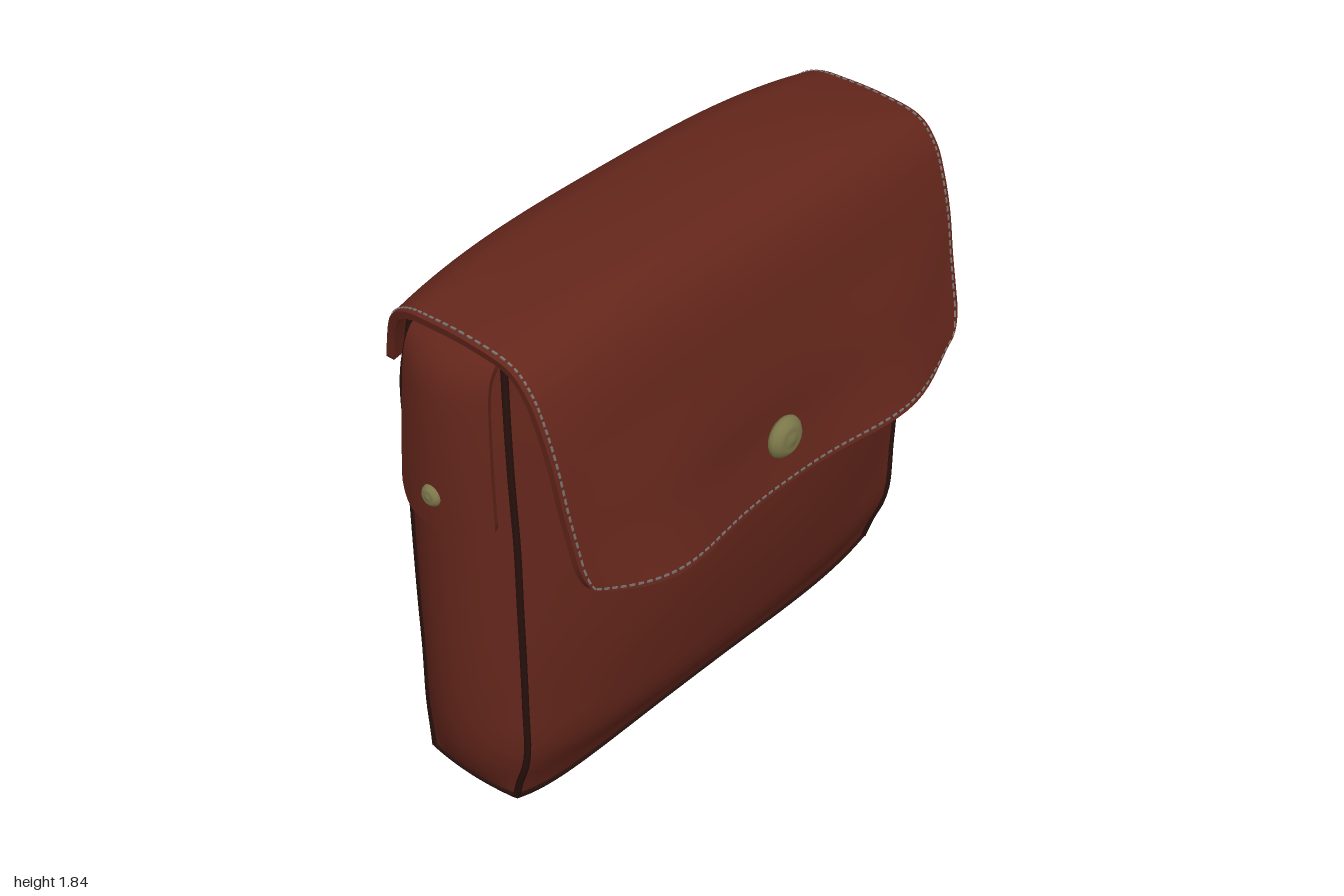
import * as THREE from 'three';
import { mergeGeometries } from 'three/addons/utils/BufferGeometryUtils.js';

const V = (x, y, z) => new THREE.Vector3(x, y, z);
const lerp = THREE.MathUtils.lerp;
const leather = new THREE.MeshStandardMaterial({ color: 0x64261b });
const darkLeather = new THREE.MeshStandardMaterial({ color: 0x2c130e });
const pipingMat = new THREE.MeshStandardMaterial({ color: 0x28110d });
const brass = new THREE.MeshStandardMaterial({ color: 0x7d784a });
const thread = new THREE.MeshStandardMaterial({ color: 0x777470 });

// Smooth function of t in 0..1 through evenly spaced values
function spl(...vals) {
  const c = new THREE.SplineCurve(vals.map((v, i) => new THREE.Vector2(i, v)));
  return t => c.getPoint(Math.min(1, Math.max(0, t))).y;
}

// Surface patch: fn(u in -1..1, t in 0..1) gives a point
function patch(fn, nu, nt) {
  const g = new THREE.PlaneGeometry(2, 1, nu, nt);
  const p = g.attributes.position;
  for (let i = 0; i < p.count; i++) {
    const q = fn(p.getX(i), p.getY(i) + 0.5);
    p.setXYZ(i, q.x, q.y, q.z);
  }
  g.computeVertexNormals();
  return g;
}

// Patch with thickness and a closed rim
function slab(fn, nu, nt, th) {
  const outer = patch(fn, nu, nt), inner = outer.clone();
  const p = inner.attributes.position, n = outer.attributes.normal;
  for (let i = 0; i < p.count; i++) {
    p.setXYZ(i, p.getX(i) - th * n.getX(i), p.getY(i) - th * n.getY(i), p.getZ(i) - th * n.getZ(i));
  }
  inner.setIndex(Array.from(inner.index.array).reverse());
  inner.computeVertexNormals();
  const w = nu + 1, loop = [];
  for (let i = 0; i < nu; i++) loop.push(nt * w + i);
  for (let j = nt; j > 0; j--) loop.push(j * w + nu);
  for (let i = nu; i > 0; i--) loop.push(i);
  for (let j = 0; j < nt; j++) loop.push(j * w);
  const pos = [], uv = [], idx = [];
  loop.concat(loop[0]).forEach((k, i) => {
    for (const a of [outer.attributes.position, p]) pos.push(a.getX(k), a.getY(k), a.getZ(k));
    uv.push(0, 0, 0, 1);
    const b = 2 * i;
    if (i < loop.length) idx.push(b, b + 1, b + 3, b, b + 3, b + 2);
  });
  const rim = new THREE.BufferGeometry();
  rim.setAttribute('position', new THREE.Float32BufferAttribute(pos, 3));
  rim.setAttribute('uv', new THREE.Float32BufferAttribute(uv, 2));
  rim.setIndex(idx);
  rim.computeVertexNormals();
  return mergeGeometries([outer, inner, rim]);
}

function add(parent, name, geo, mat) {
  const m = new THREE.Mesh(geo, mat);
  m.name = name;
  parent.add(m);
  return m;
}

const tube = (fn, n, r) => new THREE.TubeGeometry(
  new THREE.CatmullRomCurve3(Array.from({ length: n + 1 }, (_, i) => fn(i / n))), n * 2, r, 6);

// Row of short thread dashes along a path
function stitches(fn, n) {
  const parts = [], o = new THREE.Object3D();
  for (let i = 0; i < n; i++) {
    const a = fn(i / n), b = fn((i + 0.6) / n);
    const g = new THREE.BoxGeometry(0.006, 0.006, a.distanceTo(b));
    o.position.copy(a).lerp(b, 0.5);
    o.lookAt(b);
    o.updateMatrix();
    parts.push(g.applyMatrix4(o.matrix));
  }
  return mergeGeometries(parts);
}

// Body: seam corners and the bulge of each panel, from bottom to top
const seamX = spl(.828, .845, .85, .855, .858, .86, .865, .867, .86);
const sideX = t => 0.955 - 0.113 * (1 - t) ** 10 - 0.085 * t ** 12;
const seamZ = { front: spl(.1, .168, .176, .18, .18, .18, .175, .17, .16),
  back: spl(-.24, -.235, -.23, -.23, -.23, -.23, -.228, -.225, -.19) };
const midZ = { front: spl(.075, .235, .3, .34, .357, .357, .345, .31, .21),
  back: spl(-.262, -.365, -.415, -.445, -.46, -.45, -.42, -.37, -.22) };

function face(side, u, t) {
  const a = Math.abs(u), flat = 1 - a ** 5;
  const y = 0.13 + 1.6 * t - 0.08 * flat * (1 - t) ** 6 + 0.03 * flat * t ** 6;
  return V(u * seamX(t), y, lerp(midZ[side](t), seamZ[side](t), a ** 2.4));
}
function sidePanel(s, u, t) {
  return V(s * lerp(sideX(t), seamX(t), u * u), 0.13 + 1.6 * t,
    lerp(seamZ.front(t), seamZ.back(t), (s * u + 1) / 2));
}
// Bottom (t = 0) or top (t = 1) panel between the front and back edges
function cap(u, w, t) {
  const hump = 4 * w * (1 - w), p = face('front', u, t).lerp(face('back', u, t), w);
  p.y += (t ? 0.02 : -0.05) * hump * (1 - Math.abs(u) ** 5);
  p.x += u * hump * (sideX(t) - seamX(t));
  return p;
}

// Flap: centre line and side edge as height and depth, front hem to back hem
const cy = spl(1, 1.16, 1.32, 1.48, 1.63, 1.75, 1.82, 1.84, 1.84, 1.825, 1.76, 1.64, 1.5);
const cz = spl(.445, .415, .4, .37, .335, .28, .19, .06, -.08, -.2, -.3, -.365, -.405);
const ey = spl(1.09, 1.22, 1.35, 1.48, 1.6, 1.69, 1.755, 1.775, 1.775, 1.765, 1.72, 1.63, 1.53);
const ez = spl(.43, .4, .37, .345, .31, .27, .2, .06, -.08, -.18, -.25, -.295, -.325);
const flapX = spl(.842, .862, .876, .877, .87, .825);
function flap(u, v) {
  const a = Math.abs(u), s = a ** (4 - 1.3 * v);
  const wave = 0.05 * Math.max(0, 1 - 4 * v) * Math.sin(Math.PI * a ** 1.4) ** 2;
  const corner = 1 - 0.045 * a ** 6 * Math.max(0, 1 - 14 * v) ** 2;
  return V(u * flapX(v) * corner - 0.01, lerp(cy(v), ey(v), s), lerp(cz(v), ez(v), s) + wave);
}

// Side tab hanging from under the flap
const tab = s => (u, t) => V(s * (0.982 - 0.025 * t * t - 0.075 * t ** 12 - 0.052 * u * u * (1 - 0.6 * t ** 8)),
  1.175 + 0.575 * t + 0.05 * Math.abs(u) ** 8 * (1 - t), -0.01 - s * u * lerp(0.18, 0.155, t));

// Back belt loop, bowed away from the body
const loopZ = spl(-.375, -.442, -.478, -.485, -.46, -.405);
const beltLoop = x => (u, t) =>
  V(x - u * (0.1 + 0.018 * Math.sin(Math.PI * t)), 0.4 + 0.93 * t, loopZ(t));

// Domed stud with a raised ring, axis along +y
function studGeometry(r, h) {
  const pts = [[0, 0], [.9, 0], [1, .25], [.95, .5], [.75, .8], [.55, .92], [.45, .85], [.35, .92], [0, 1]];
  return new THREE.LatheGeometry(pts.map(([a, b]) => new THREE.Vector2(a * r, b * h)), 28);
}

export function createModel() {
  const group = new THREE.Group();

  // Pouch panels
  const body = new THREE.Group();
  body.name = 'body';
  group.add(body);
  add(body, 'frontPanel', patch((u, t) => face('front', u, t), 32, 32), leather);
  add(body, 'backPanel', patch((u, t) => face('back', -u, t), 32, 32), leather);
  add(body, 'bottomPanel', patch((u, t) => cap(u, 1 - t, 0), 32, 12), leather);
  add(body, 'topPanel', patch((u, t) => cap(u, t, 1), 32, 12), leather);

  for (const s of [1, -1]) {
    const side = s > 0 ? 'left' : 'right';
    add(body, side + 'SidePanel', patch((u, t) => sidePanel(s, u, t), 16, 40), leather);
    // Piping on the upright and lower side seams
    for (const f of ['front', 'back']) {
      add(body, `${side}${f === 'front' ? 'Front' : 'Back'}Piping`, tube(t => face(f, s, t), 20, 0.011), pipingMat);
    }
    add(body, side + 'LowerPiping', tube(w => cap(s, w, 0), 8, 0.009), pipingMat);

    // Tab and its rivet
    add(group, side + 'Tab', slab(tab(s), 20, 28, 0.025), leather);
    const rivet = add(group, side + 'Rivet', studGeometry(0.034, 0.028), brass);
    rivet.position.set(s * 0.972, 1.285, -0.02);
    rivet.rotation.z = -s * Math.PI / 2;

    // Belt loop with stitched ends
    const fn = beltLoop(s > 0 ? 0.45 : -0.48);
    add(group, side + 'BeltLoop', slab(fn, 4, 24, 0.015), darkLeather);
    for (const t of [0.03, 0.97]) {
      add(group, side + 'LoopStitching', stitches(k => fn(1.7 * k - 0.85, t), 8), thread);
    }
  }
  for (const f of ['front', 'back']) {
    add(body, f + 'BottomPiping', tube(k => face(f, 2 * k - 1, 0), 24, 0.01), pipingMat);
  }

  // Flap with stitched border
  add(group, 'flap', slab(flap, 40, 72, 0.025), leather);
  for (const v of [0.012, 0.985]) {
    add(group, 'flapHemStitching', stitches(k => flap(1.95 * k - 0.975, v), 56), thread);
  }
  for (const u of [-0.982, 0.982]) {
    add(group, 'flapSideStitching', stitches(k => flap(u, 0.012 + 0.973 * k), 56), thread);
  }

  // Front snap and its socket
  const snap = add(group, 'snap', studGeometry(0.068, 0.048), brass);
  snap.position.set(-0.008, 1.16, 0.41);
  snap.rotation.x = Math.PI / 2;
  const socket = add(group, 'snapSocket', new THREE.CylinderGeometry(0.05, 0.06, 0.06, 24), brass);
  socket.position.set(-0.008, 1.16, 0.38);
  socket.rotation.x = Math.PI / 2;
  return group;
}
